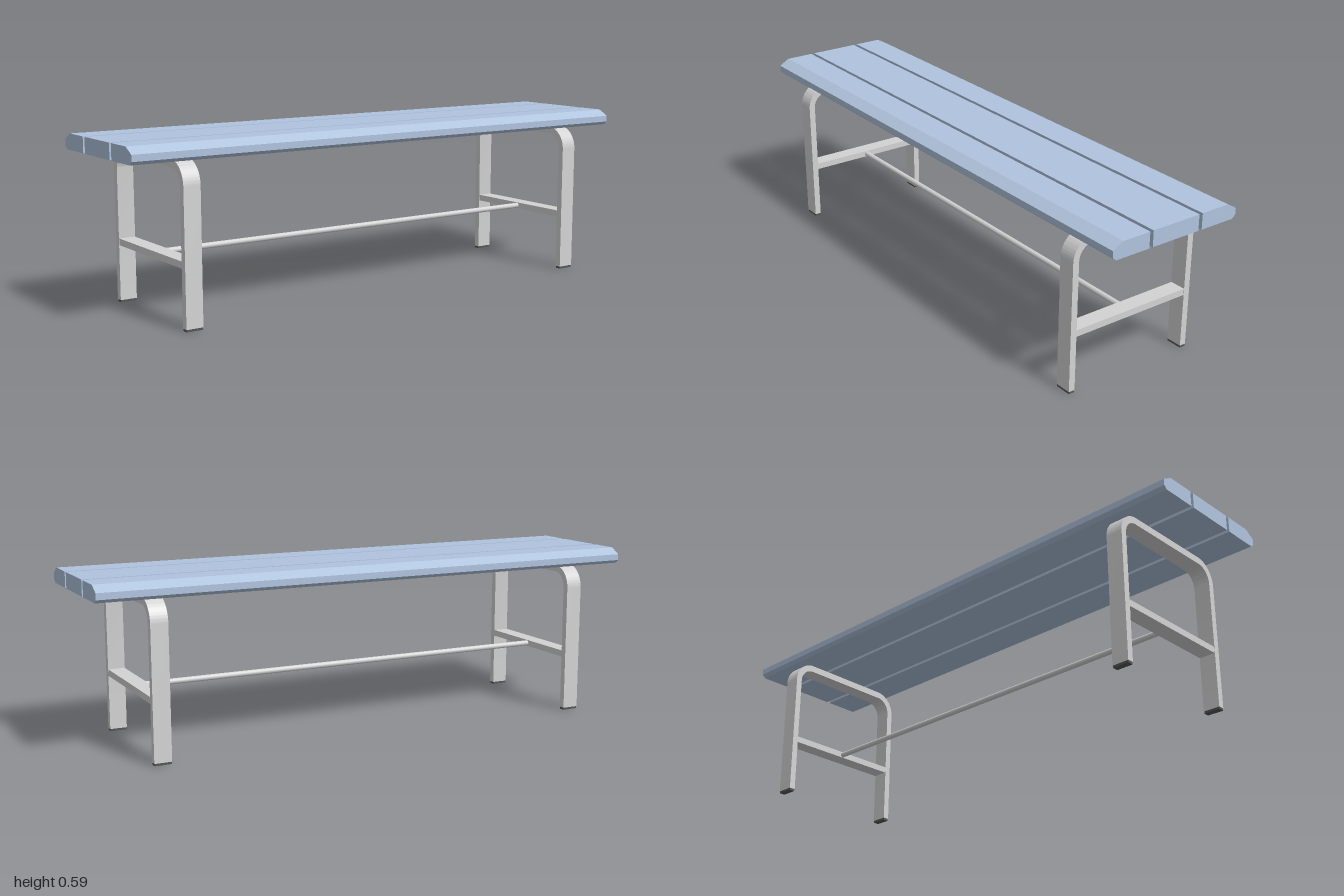
import * as THREE from 'three';
import { toCreasedNormals } from 'three/addons/utils/BufferGeometryUtils.js';

const slatBlue = new THREE.MeshStandardMaterial({ name: 'slat blue', color: 0xb0c4de });
const frameGrey = new THREE.MeshStandardMaterial({ name: 'frame grey', color: 0xd3d3d3 });
const footDark = new THREE.MeshStandardMaterial({ name: 'foot dark grey', color: 0x555555 });

// Extrudes a (z, y) outline along x, centred on x = 0
function extrudeAlongX(shape, width) {
  const geo = new THREE.ExtrudeGeometry(shape, { depth: width, bevelEnabled: false, curveSegments: 12 });
  geo.translate(0, 0, -width / 2);
  geo.rotateY(-Math.PI / 2);
  return toCreasedNormals(geo, 0.45);
}

function addMesh(parent, name, geo, material, x = 0, y = 0, z = 0) {
  const mesh = new THREE.Mesh(geo, material);
  mesh.name = name;
  mesh.position.set(x, y, z);
  parent.add(mesh);
  return mesh;
}

// Bent flat-bar arch with rounded upper corners
function archShape() {
  const outer = 0.25, inner = 0.227, top = 0.539, under = 0.514, bend = 0.46, base = 0.008;
  const R = top - bend, r = under - bend;
  const s = new THREE.Shape();
  s.moveTo(outer, base);
  s.lineTo(outer, bend);
  s.absarc(outer - R, bend, R, 0, Math.PI / 2, false);
  s.lineTo(-outer + R, top);
  s.absarc(-outer + R, bend, R, Math.PI / 2, Math.PI, false);
  s.lineTo(-outer, base);
  s.lineTo(-inner, base);
  s.lineTo(-inner, bend);
  s.absarc(-inner + r, bend, r, Math.PI, Math.PI / 2, true);
  s.lineTo(inner - r, under);
  s.absarc(inner - r, bend, r, Math.PI / 2, 0, true);
  s.lineTo(inner, base);
  s.closePath();
  return s;
}

export function createModel() {
  const bench = new THREE.Group();
  bench.name = 'bench';

  // Seat: plain middle slat and two outer slats with chamfered edges
  addMesh(bench, 'middleSlat', new THREE.BoxGeometry(2, 0.055, 0.185), slatBlue, 0, 0.567, 0);
  const edgeProfile = [
    [0.106, 0.5395], [0.235, 0.5395], [0.248, 0.551], [0.248, 0.573], [0.21, 0.5945], [0.106, 0.5945],
  ];
  const edgeGeo = extrudeAlongX(new THREE.Shape(edgeProfile.map(([z, y]) => new THREE.Vector2(z, y))), 2);
  addMesh(bench, 'frontSlat', edgeGeo, slatBlue);
  addMesh(bench, 'backSlat', edgeGeo, slatBlue).rotation.y = Math.PI;

  // Leg frames: arch, crossbar and foot caps
  const archGeo = extrudeAlongX(archShape(), 0.06);
  const crossGeo = new THREE.BoxGeometry(0.058, 0.023, 0.454);
  const footGeo = new THREE.BoxGeometry(0.058, 0.008, 0.021);
  for (const side of [1, -1]) {
    const frame = new THREE.Group();
    frame.name = side > 0 ? 'leftLegFrame' : 'rightLegFrame';
    frame.position.x = 0.8 * side;
    addMesh(frame, 'legArch', archGeo, frameGrey);
    addMesh(frame, 'crossbar', crossGeo, frameGrey, 0, 0.2115, 0);
    for (const z of [0.2385, -0.2385]) addMesh(frame, 'footCap', footGeo, footDark, 0, 0.004, z);
    bench.add(frame);
  }

  // Long tie rod joining the crossbars
  const rodGeo = new THREE.CylinderGeometry(0.01, 0.01, 1.55, 16);
  rodGeo.rotateZ(Math.PI / 2);
  addMesh(bench, 'tieRod', rodGeo, frameGrey, 0, 0.2115, 0);

  return bench;
}
